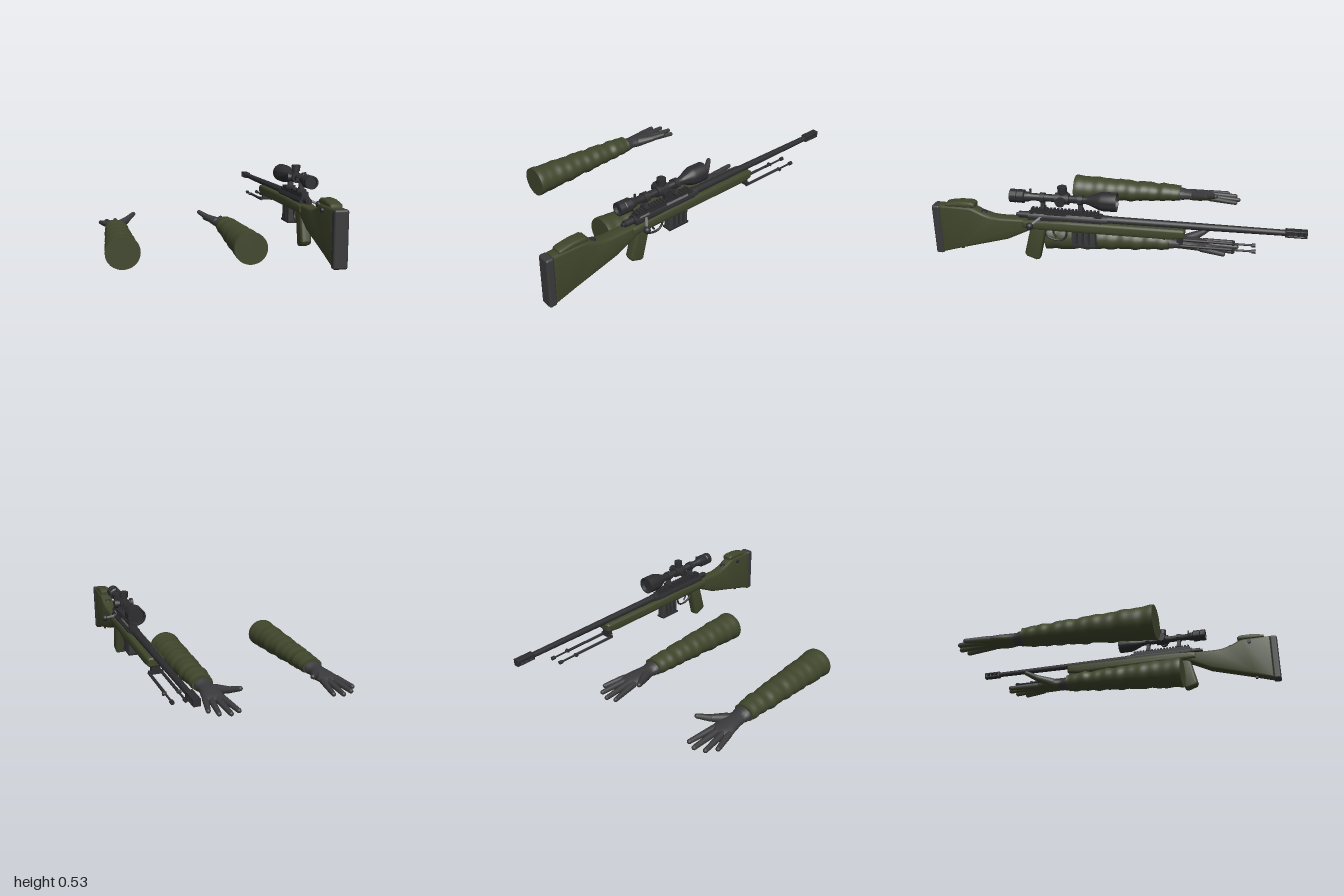
import * as THREE from 'three';
import { mergeVertices, toCreasedNormals } from 'three/addons/utils/BufferGeometryUtils.js';
import { RoundedBoxGeometry } from 'three/addons/geometries/RoundedBoxGeometry.js';

const mat = (name, color) => {
  const m = new THREE.MeshStandardMaterial({ color });
  m.name = name;
  return m;
};
const V = (x, y, z) => new THREE.Vector3(x, y, z);

export function createModel() {
  const olive = mat('olive', 0x40462c);
  const charcoal = mat('charcoal', 0x3a3a3c);
  const gunmetal = mat('gunmetal', 0x2d2d30);
  const steel = mat('steel', 0x78797a);

  const root = new THREE.Group();
  const rifle = new THREE.Group();
  rifle.name = 'rifle';
  rifle.position.x = 0.492;
  root.add(rifle);

  const add = (parent, name, geometry, material, x = 0, y = 0, z = 0) => {
    const m = new THREE.Mesh(geometry, material);
    m.name = name;
    m.position.set(x, y, z);
    parent.add(m);
    return m;
  };
  const box = (name, w, h, d, material, x, y, z) => add(rifle, name, new THREE.BoxGeometry(w, h, d), material, x, y, z);
  const cylZ = (name, r, z0, z1, material, x, y, n = 20) =>
    add(rifle, name, new THREE.CylinderGeometry(r, r, Math.abs(z1 - z0), n).rotateX(Math.PI / 2), material, x, y, (z0 + z1) / 2);
  // Round bar from a to b, tapering, with rounded ends
  const bar = (a, b, r0, r1, n = 14) => {
    const len = a.distanceTo(b), pts = [];
    for (let i = 0; i <= 4; i++) pts.push(new THREE.Vector2(r0 * Math.sin(i * Math.PI / 8), r0 - r0 * Math.cos(i * Math.PI / 8)));
    for (let i = 4; i >= 0; i--) pts.push(new THREE.Vector2(r1 * Math.sin(i * Math.PI / 8), len - r1 + r1 * Math.cos(i * Math.PI / 8)));
    const g = new THREE.LatheGeometry(pts, n);
    g.applyQuaternion(new THREE.Quaternion().setFromUnitVectors(V(0, 1, 0), b.clone().sub(a).normalize()));
    return g.translate(a.x, a.y, a.z);
  };
  // Side outline in (z, y), extruded across x with bevelled edges
  const slab = (pts, width, bevel, holes = []) => {
    const path = (p) => p.map(([z, y]) => new THREE.Vector2(-z, y));
    const shape = new THREE.Shape(path(pts));
    holes.forEach((h) => shape.holes.push(new THREE.Path(path(h))));
    const g = new THREE.ExtrudeGeometry(shape, {
      depth: width - 2 * bevel, bevelEnabled: bevel > 0, bevelThickness: bevel, bevelSize: bevel, bevelOffset: -bevel, bevelSegments: 3,
    });
    g.translate(0, 0, -(width - 2 * bevel) / 2).rotateY(Math.PI / 2);
    return toCreasedNormals(g, 0.6);
  };
  // Elliptical sections [z, cx, cy, rx, ry], running toward -z
  const loft = (secs, n = 28) => {
    const first = secs[0], last = secs[secs.length - 1];
    const all = [[...first.slice(0, 3), 0, 0], ...secs, [...last.slice(0, 3), 0, 0]];
    const pos = [], idx = [];
    all.forEach(([z, cx, cy, rx, ry], i) => {
      for (let j = 0; j < n; j++) {
        const t = j / n * Math.PI * 2;
        pos.push(cx + rx * Math.cos(t), cy + ry * Math.sin(t), z);
        if (i < all.length - 1) {
          const a = i * n + j, b = i * n + (j + 1) % n;
          idx.push(a, a + n, b + n, a, b + n, b);
        }
      }
    });
    const g = new THREE.BufferGeometry();
    g.setAttribute('position', new THREE.Float32BufferAttribute(pos, 3));
    g.setIndex(idx);
    return toCreasedNormals(g, 1);
  };

  // Stock, cheek rest, butt pad and grip
  add(rifle, 'buttStock', slab([[0.96, 0.1], [0.845, 0.134], [0.578, 0.209], [0.46, 0.268], [0.4, 0.285], [0.4, 0.335],
    [0.62, 0.332], [0.66, 0.336], [0.717, 0.353], [0.765, 0.377], [0.79, 0.382], [0.96, 0.382]], 0.07, 0.014), olive);
  add(rifle, 'foreStock', slab([[0.49, 0.29], [0.4, 0.283], [-0.3, 0.283], [-0.37, 0.292], [-0.38, 0.3],
    [-0.38, 0.335], [-0.37, 0.343], [0.25, 0.343], [0.44, 0.335], [0.49, 0.33]], 0.092, 0.015), olive);
  add(rifle, 'grip', slab([[0.45, 0.29], [0.49, 0.13], [0.482, 0.112], [0.425, 0.092], [0.408, 0.098], [0.365, 0.29]], 0.06, 0.014), olive);
  add(rifle, 'cheekRest', slab([[0.925, 0.38], [0.922, 0.395], [0.9, 0.402], [0.84, 0.411], [0.775, 0.411], [0.757, 0.4], [0.757, 0.38]], 0.066, 0.01), olive);
  add(rifle, 'buttPad', new RoundedBoxGeometry(0.074, 0.288, 0.045, 3, 0.012), charcoal, 0, 0.237, 0.9775);
  add(rifle, 'cheekKnob', new THREE.CylinderGeometry(0.012, 0.012, 0.014, 14).rotateZ(Math.PI / 2), gunmetal, -0.04, 0.355, 0.83);
  add(rifle, 'stockCap', new THREE.CylinderGeometry(0.016, 0.02, 0.012, 14), gunmetal, 0, 0.352, 0.715);
  box('rearSlingStud', 0.012, 0.025, 0.014, gunmetal, 0, 0.13, 0.855);
  box('frontSlingStud', 0.012, 0.025, 0.014, gunmetal, 0, 0.277, -0.27);

  // Receiver, bolt and rail
  cylZ('receiver', 0.029, 0.46, 0.03, gunmetal, 0, 0.348);
  box('receiverTop', 0.044, 0.03, 0.39, gunmetal, 0, 0.362, 0.255);
  box('receiverSkirt', 0.07, 0.014, 0.4, gunmetal, 0, 0.345, 0.26);
  box('ejectionPort', 0.008, 0.016, 0.15, steel, 0.021, 0.366, 0.175);
  box('boltBody', 0.008, 0.014, 0.06, steel, 0.021, 0.364, 0.4);
  cylZ('boltShroud', 0.018, 0.515, 0.45, gunmetal, 0, 0.352);
  cylZ('firingPinEnd', 0.01, 0.53, 0.51, gunmetal, 0, 0.352);
  add(rifle, 'boltHandle', bar(V(0.015, 0.352, 0.385), V(0.08, 0.328, 0.432), 0.009, 0.007), steel);
  add(rifle, 'boltKnob', new THREE.SphereGeometry(0.019, 18, 12), gunmetal, 0.084, 0.326, 0.435);
  box('rail', 0.036, 0.012, 0.37, gunmetal, 0, 0.381, 0.262);
  for (let i = 0; i < 19; i++) box('railTooth', 0.04, 0.008, 0.011, gunmetal, 0, 0.391, 0.44 - i * 0.0198);

  // Barrel and ported muzzle brake
  add(rifle, 'barrel', new THREE.CylinderGeometry(0.016, 0.022, 0.94, 24).rotateX(-Math.PI / 2), gunmetal, 0, 0.353, -0.425);
  const ports = [-0.916, -0.944, -0.972].map((z) => [[z + 0.009, 0.345], [z - 0.009, 0.345], [z - 0.009, 0.361], [z + 0.009, 0.361]]);
  add(rifle, 'muzzleBrake', slab([[-0.89, 0.334], [-1, 0.334], [-1, 0.372], [-0.89, 0.372]], 0.04, 0.005, ports), gunmetal);

  // Magazine and trigger
  add(rifle, 'magazine', slab([[0.225, 0.3], [0.225, 0.194], [0.098, 0.194], [0.098, 0.3]], 0.05, 0.006), charcoal);
  box('magazineFloor', 0.056, 0.01, 0.134, gunmetal, 0, 0.194, 0.161);
  for (const s of [-1, 1]) for (const z of [0.195, 0.162, 0.129])
    box('magazineRib', 0.005, 0.075, 0.012, gunmetal, s * 0.0255, 0.245, z);
  const guard = new THREE.CatmullRomCurve3([V(0, 0.285, 0.385), V(0, 0.235, 0.37), V(0, 0.214, 0.33), V(0, 0.214, 0.285), V(0, 0.235, 0.262), V(0, 0.285, 0.258)]);
  add(rifle, 'triggerGuard', new THREE.TubeGeometry(guard, 24, 0.006, 8), gunmetal);
  const trigger = new THREE.CatmullRomCurve3([V(0, 0.285, 0.32), V(0, 0.255, 0.33), V(0, 0.23, 0.315)]);
  add(rifle, 'trigger', new THREE.TubeGeometry(trigger, 10, 0.005, 8), gunmetal);

  // Scope
  const SY = 0.459;
  const profile = [[0, 0], [0.04, 0], [0.044, -0.02], [0.051, -0.02], [0.051, 0.055], [0.046, 0.075], [0.024, 0.13], [0.02, 0.145],
    [0.02, 0.44], [0.026, 0.455], [0.027, 0.475], [0.036, 0.48], [0.036, 0.515], [0.033, 0.52], [0.036, 0.525], [0.036, 0.556], [0.029, 0.556], [0.027, 0.54], [0, 0.54]];
  const scopeGeo = new THREE.LatheGeometry(profile.map(([r, z]) => new THREE.Vector2(r, z)), 32).rotateX(Math.PI / 2);
  add(rifle, 'scopeTube', toCreasedNormals(scopeGeo, 0.5), gunmetal, 0, SY, 0);
  cylZ('turretHousing', 0.03, 0.31, 0.235, gunmetal, 0, SY);
  const turret = (name, top, x, y, rot) => {
    const g = new THREE.Group();
    g.name = name;
    add(g, 'turretBase', new THREE.CylinderGeometry(0.018, 0.018, 0.03, 18), gunmetal, 0, 0.027, 0);
    add(g, 'turretCap', new THREE.CylinderGeometry(0.025, 0.025, top - 0.037, 18), gunmetal, 0, (top + 0.037) / 2, 0);
    g.position.set(x, y, 0.272);
    g.rotation.z = rot;
    rifle.add(g);
  };
  turret('elevationTurret', 0.07, 0, SY, 0);
  turret('windageTurret', 0.06, 0, SY, -Math.PI / 2);
  turret('focusTurret', 0.052, 0, SY, Math.PI / 2);
  for (const z of [0.38, 0.175]) {
    cylZ('scopeRing', 0.027, z + 0.013, z - 0.013, gunmetal, 0, SY);
    box('ringPost', 0.03, 0.05, 0.02, charcoal, 0, 0.415, z);
    box('ringClamp', 0.052, 0.016, 0.024, gunmetal, 0, 0.395, z);
    for (const s of [-1, 1]) box('ringLug', 0.012, 0.014, 0.022, gunmetal, s * 0.028, SY, z);
  }
  box('zoomLever', 0.008, 0.02, 0.01, gunmetal, 0, 0.494, 0.445);

  // Folded bipod
  box('bipodMount', 0.05, 0.03, 0.03, gunmetal, 0, 0.277, -0.355);
  box('bipodCrossbar', 0.08, 0.018, 0.02, gunmetal, 0, 0.256, -0.36);
  for (const s of [-1, 1]) {
    const x = s * 0.034;
    cylZ('bipodLeg', 0.008, -0.35, -0.63, gunmetal, x, 0.251, 12);
    cylZ('bipodLegTip', 0.0055, -0.62, -0.735, gunmetal, x, 0.25, 12);
    add(rifle, 'bipodLock', new THREE.CylinderGeometry(0.009, 0.009, 0.022, 12).rotateZ(Math.PI / 2), gunmetal, s * 0.038, 0.25, -0.632);
    add(rifle, 'bipodFoot', new THREE.CylinderGeometry(0.011, 0.011, 0.02, 12).rotateX(Math.PI / 2), gunmetal, x, 0.25, -0.738);
  }

  // Gloves: charcoal backs, olive palms on the downward faces
  const glove = (parent, name, geometry) => {
    const g = geometry.index ? geometry.toNonIndexed() : geometry;
    const p = g.attributes.position, nrm = g.attributes.normal, sides = [[], []];
    for (let i = 0; i < p.count; i += 3) {
      const t = [0, 1, 2].map((k) => V().fromBufferAttribute(p, i + k));
      const n = t[1].clone().sub(t[0]).cross(t[2].clone().sub(t[0])).normalize();
      const under = n.y < -0.3 && (t[0].z + t[1].z + t[2].z) / 3 < -0.33;
      sides[under ? 1 : 0].push(i, i + 1, i + 2);
    }
    const out = new THREE.BufferGeometry();
    out.setAttribute('position', p);
    out.setAttribute('normal', nrm);
    out.setIndex([...sides[0], ...sides[1]]);
    out.addGroup(0, sides[0].length, 0);
    out.addGroup(sides[0].length, sides[1].length, 1);
    add(parent, name, mergeVertices(out), [charcoal, olive]);
  };

  // Arms: s is the side of the thumb
  for (const [name, cx, s] of [['rightArm', -0.5, 1], ['leftArm', 0.195, -1]]) {
    const arm = new THREE.Group();
    arm.name = name;
    arm.position.x = cx;
    root.add(arm);
    // Wrinkled sleeve
    const secs = [];
    for (let i = 0; i <= 70; i++) {
      const t = i / 70;
      const fold = (0.0015 + 0.0022 * t) * (Math.sin(t * 62) + 0.6 * Math.sin(t * 37 + 1));
      secs.push([0.445 - 0.715 * t, s * 0.002 * Math.sin(t * 24), 0.092 + 0.015 * t + 0.002 * Math.sin(t * 31),
        0.094 - 0.03 * t + fold * 0.7, 0.089 - 0.039 * t + fold * 0.7]);
    }
    add(arm, 'sleeve', loft(secs, 32), olive);
    // Palm, fingers and thumb
    glove(arm, 'palm', loft([[-0.25, 0, 0.103, 0.053, 0.04], [-0.295, 0, 0.1, 0.053, 0.037], [-0.3, 0, 0.1, 0.048, 0.033],
      [-0.325, 0, 0.1, 0.048, 0.032], [-0.36, 0.004, 0.1, 0.056, 0.033], [-0.4, 0.002, 0.1, 0.063, 0.031], [-0.45, -0.006, 0.098, 0.064, 0.025],
      [-0.48, -0.007, 0.095, 0.058, 0.021], [-0.495, -0.005, 0.093, 0.045, 0.014]].map((q) => [q[0], s * q[1], ...q.slice(2)])));
    for (const [f, x0, z0, x1, z1] of [['littleFinger', -0.05, -0.44, -0.088, -0.592], ['ringFinger', -0.026, -0.46, -0.046, -0.644],
      ['middleFinger', 0.008, -0.46, 0.015, -0.665], ['indexFinger', 0.036, -0.45, 0.068, -0.645]])
      glove(arm, f, bar(V(s * x0, 0.098, z0), V(s * x1, 0.088, z1), 0.019, 0.0135));
    glove(arm, 'thumbBase', bar(V(s * 0.02, 0.1, -0.345), V(s * 0.098, 0.132, -0.465), 0.03, 0.019));
    glove(arm, 'thumb', bar(V(s * 0.075, 0.122, -0.435), V(s * 0.135, 0.156, -0.515), 0.019, 0.014));
  }
  return root;
}
